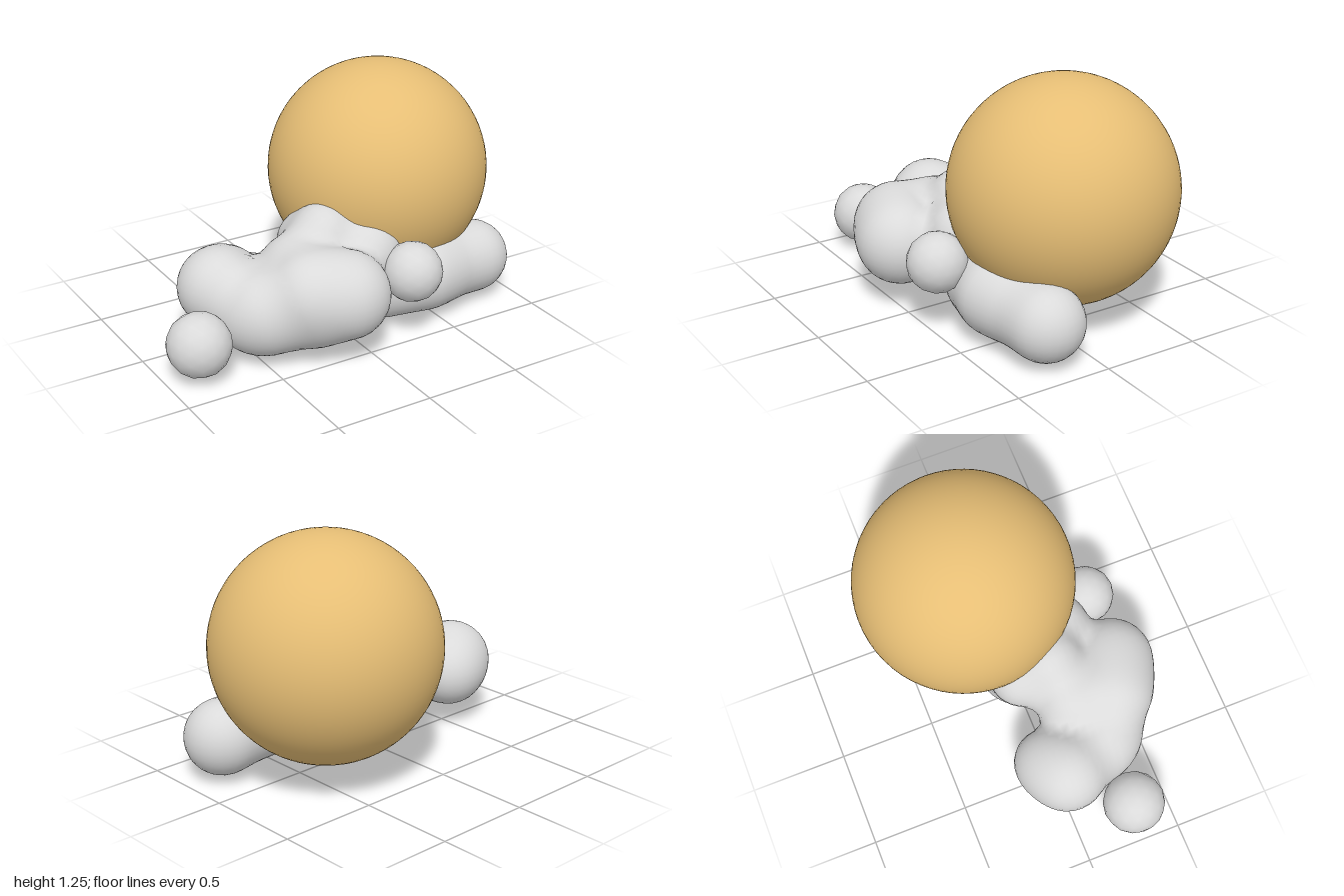
import * as THREE from 'three';

const grey = new THREE.MeshStandardMaterial({ color: 0xdadada });
grey.name = 'pale grey';
const gold = new THREE.MeshStandardMaterial({ color: 0xe6be75 });
gold.name = 'gold';

// Distance to a softly blended cluster of lobes [x, y, z, radius]
function clusterDistance(lobes, blend) {
  return (x, y, z) => {
    let d = 10;
    for (const [cx, cy, cz, r] of lobes) {
      const e = Math.hypot(x - cx, y - cy, z - cz) - r;
      const h = Math.max(blend - Math.abs(d - e), 0) / blend;
      d = Math.min(d, e) - h * h * blend * 0.25;
    }
    return d;
  };
}

// Smooth skin over the cluster: one vertex per grid cell that the surface crosses
function skin(lobes, blend, step) {
  const dist = clusterDistance(lobes, blend);
  const min = [0, 1, 2].map(a => Math.min(...lobes.map(l => l[a] - l[3])) - step * 2.5);
  const max = [0, 1, 2].map(a => Math.max(...lobes.map(l => l[a] + l[3])) + step * 2.5);
  const n = [0, 1, 2].map(a => Math.ceil((max[a] - min[a]) / step));
  const at = p => dist(...p.map((v, a) => min[a] + v * step));
  const gradient = ([x, y, z]) => {
    const e = 0.004;
    return new THREE.Vector3(
      dist(x + e, y, z) - dist(x - e, y, z),
      dist(x, y + e, z) - dist(x, y - e, z),
      dist(x, y, z + e) - dist(x, y, z - e)
    ).normalize().toArray();
  };

  const positions = [], normals = [], index = [], seen = new Map();
  const vertex = cell => {
    const key = cell.join();
    if (!seen.has(key)) {
      let p = cell.map((v, a) => min[a] + (v + 0.5) * step);
      for (let i = 0; i < 5; i++) {
        const g = gradient(p), d = dist(...p);
        p = p.map((v, a) => v - g[a] * d * 0.9);
      }
      seen.set(key, positions.length / 3);
      positions.push(...p);
      normals.push(...gradient(p));
    }
    return seen.get(key);
  };

  for (let i = 1; i < n[0]; i++) for (let j = 1; j < n[1]; j++) for (let k = 1; k < n[2]; k++) {
    const p = [i, j, k], inside = at(p) < 0;
    for (let a = 0; a < 3; a++) {
      const q = [...p];
      q[a]++;
      if ((at(q) < 0) === inside) continue;
      const b = (a + 1) % 3, c = (a + 2) % 3;
      const corner = (db, dc) => {
        const cell = [...p];
        cell[b] -= db;
        cell[c] -= dc;
        return vertex(cell);
      };
      const quad = [corner(0, 0), corner(1, 0), corner(1, 1), corner(0, 1)];
      if (!inside) quad.reverse();
      index.push(quad[0], quad[1], quad[2], quad[0], quad[2], quad[3]);
    }
  }
  const geometry = new THREE.BufferGeometry();
  geometry.setAttribute('position', new THREE.Float32BufferAttribute(positions, 3));
  geometry.setAttribute('normal', new THREE.Float32BufferAttribute(normals, 3));
  geometry.setIndex(index);
  return geometry;
}

export function createModel() {
  const model = new THREE.Group();
  model.name = 'lumpyClusterWithBall';
  const add = (name, geometry, material, x = 0, y = 0, z = 0) => {
    const mesh = new THREE.Mesh(geometry, material);
    mesh.name = name;
    mesh.position.set(x, y, z);
    model.add(mesh);
  };

  // Large smooth ball
  add('largeBall', new THREE.SphereGeometry(0.567, 64, 40), gold, 0.43, 0.686, -0.127);

  // Lumpy body: a broad mass on the right-hand side, running into a long arm under the ball
  add('lumpyBody', skin([
    // broad mass
    [-0.13, 0.345, 0.465, 0.22],
    [-0.28, 0.36, 0.40, 0.22],
    [-0.26, 0.27, 0.36, 0.20],
    [-0.45, 0.26, 0.28, 0.215],
    [-0.51, 0.24, 0.20, 0.185],
    [-0.59, 0.32, 0.03, 0.205],
    [-0.50, 0.29, -0.04, 0.17],
    [-0.24, 0.38, 0.20, 0.20],
    [-0.06, 0.51, 0.14, 0.17],
    [-0.05, 0.42, 0.00, 0.17],
    // long arm
    [0.04, 0.25, 0.03, 0.20],
    [0.10, 0.22, -0.01, 0.17],
    [0.13, 0.195, 0.14, 0.19],
    [0.12, 0.425, 0.25, 0.18],
    [0.28, 0.225, 0.22, 0.20],
    [0.46, 0.235, 0.27, 0.20],
    [0.62, 0.225, 0.24, 0.185],
    [0.80, 0.22, 0.22, 0.19]
  ], 0.08, 0.04), grey);

  // Two separate small balls
  add('frontBall', new THREE.IcosahedronGeometry(0.152, 2), grey, 0.25, 0.375, 0.475);
  add('sideBall', new THREE.IcosahedronGeometry(0.16, 2), grey, -0.84, 0.198, 0.303);

  return model;
}
